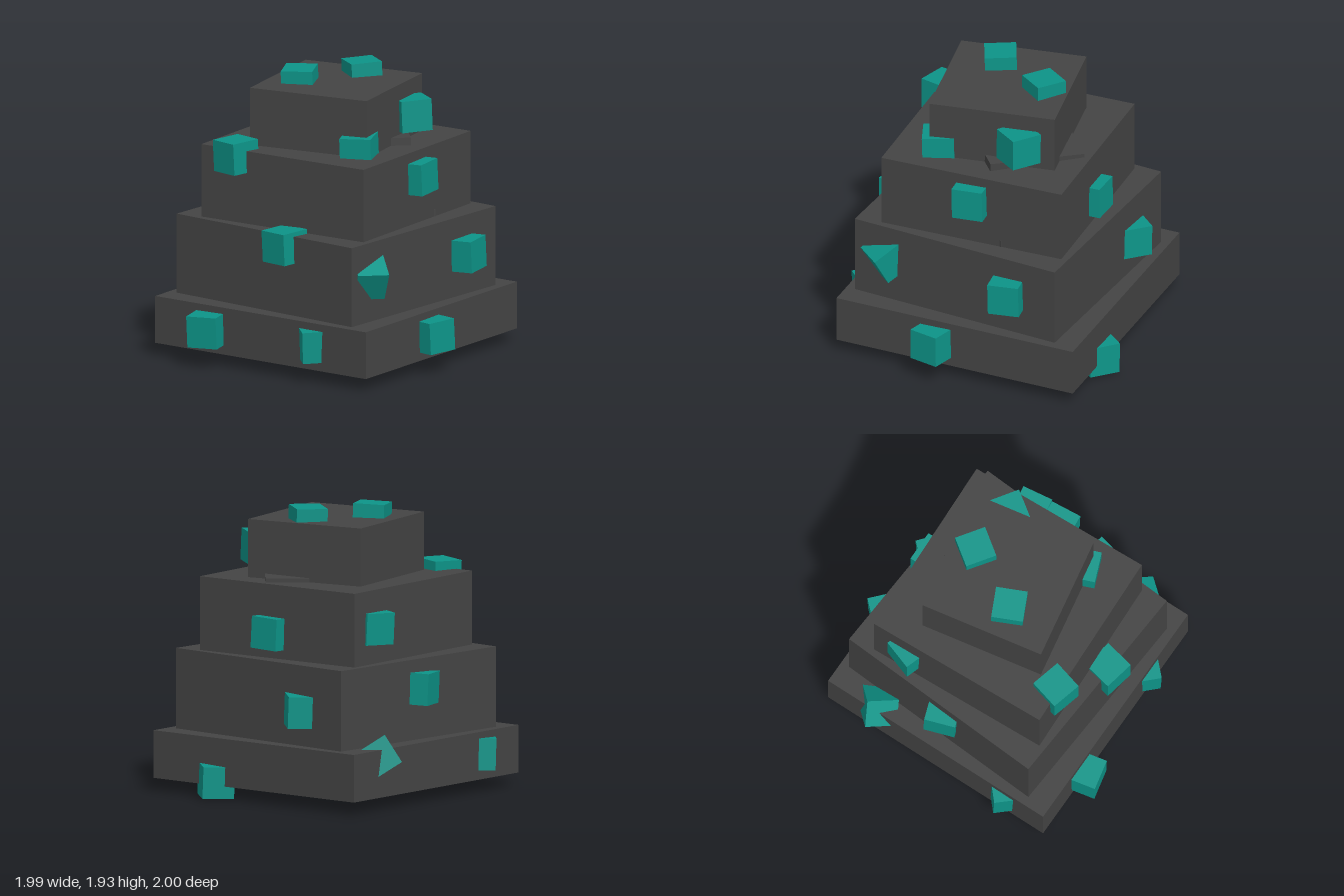
import * as THREE from 'three';

export function createModel() {
  const model = new THREE.Group();
  const stone = new THREE.MeshStandardMaterial({ color: 0x444444 });
  stone.name = 'darkStone';
  const teal = new THREE.MeshStandardMaterial({ color: 0x0d9488 });
  teal.name = 'tealBlock';

  function addBox(name, material, size, height, x, y, z, turn, tiltX = 0, tiltZ = 0) {
    const mesh = new THREE.Mesh(new THREE.BoxGeometry(size, height, size), material);
    mesh.name = name;
    mesh.position.set(x, y, z);
    mesh.rotation.set(tiltX, turn, tiltZ, 'YXZ');
    model.add(mesh);
    return mesh;
  }

  // Stacked tiers, each twisted a little: size, bottom, top, turn
  const tiers = [
    [1.72, 0.09, 0.41, 0],
    [1.503, 0.41, 0.95, -0.065],
    [1.29, 0.95, 1.445, 0.038],
    [0.858, 1.445, 1.835, 0.176],
  ];
  tiers.forEach(([size, bottom, top, turn], i) =>
    addBox(`tier${i + 1}`, stone, size, top - bottom, -0.025, (bottom + top) / 2, -0.03, turn));

  // Buried slabs whose corners peek out between the tiers
  addBox('upperSlab', stone, 0.65, 0.2, 0.05, 1.385, -0.175, 0.708, -0.04, 0);
  addBox('middleSlab', stone, 0.9, 0.1, 0.02, 0.95, -0.05, -0.435);

  // Teal blocks half sunk into the tiers: x, y, z, turn
  const side = 0.213;
  const blocks = [
    // roof
    [-0.22, 1.818, 0.11, 0.44], [-0.005, 1.818, -0.30, -0.62],
    // fourth tier
    [0.39, 1.478, 0.285, 0.376], [0.40, 1.62, -0.30, -0.61],
    // third tier
    [-0.39, 1.40, 0.60, -0.26], [0.0, 1.12, -0.65, 0],
    [0.61, 1.27, -0.055, 0.093], [-0.64, 1.19, -0.40, -0.33],
    // second tier
    [0.08, 0.87, 0.70, -0.2], [-0.755, 0.755, -0.055, 0.33],
    [0.77, 0.70, -0.385, 0.14], [-0.35, 0.645, -0.78, -0.75],
    // first tier
    [-0.82, 0.257, 0.50, 0.74], [-0.43, 0.257, 0.865, 0.21],
    [0.385, 0.257, 0.77, 0.78], [0.863, 0.257, 0.115, -0.24],
    [0.33, 0.118, -0.85, -0.72],
  ];
  blocks.forEach(([x, y, z, turn], i) =>
    addBox(`block${i + 1}`, teal, side, side, x, y, z, turn, 0.03, 0.03));

  // Tumbled blocks given by their outer corner and two edge directions
  function addTumbled(name, corner, edgeA, edgeB, flip) {
    const a = new THREE.Vector3(...edgeA).normalize();
    const b = new THREE.Vector3(...edgeB);
    b.addScaledVector(a, -a.dot(b)).normalize();
    const c = a.clone().cross(b);
    const mesh = addBox(name, teal, side, side, 0, 0, 0, 0);
    mesh.quaternion.setFromRotationMatrix(new THREE.Matrix4().makeBasis(a, b, c));
    mesh.position.set(...corner)
      .addScaledVector(a, side / 2)
      .addScaledVector(b, side / 2)
      .addScaledVector(c, (flip * side) / 2);
  }
  addTumbled('tumbledBlockLeft', [0.83, 0.745, 0.555], [-0.64, 0.03, 0.77], [-0.67, 0.485, -0.565], 1);
  addTumbled('tumbledBlockRight', [-0.995, 0.33, -0.52], [0.5, 0.85, -0.25], [0.6, -0.5, -0.6], -1);

  return model;
}
